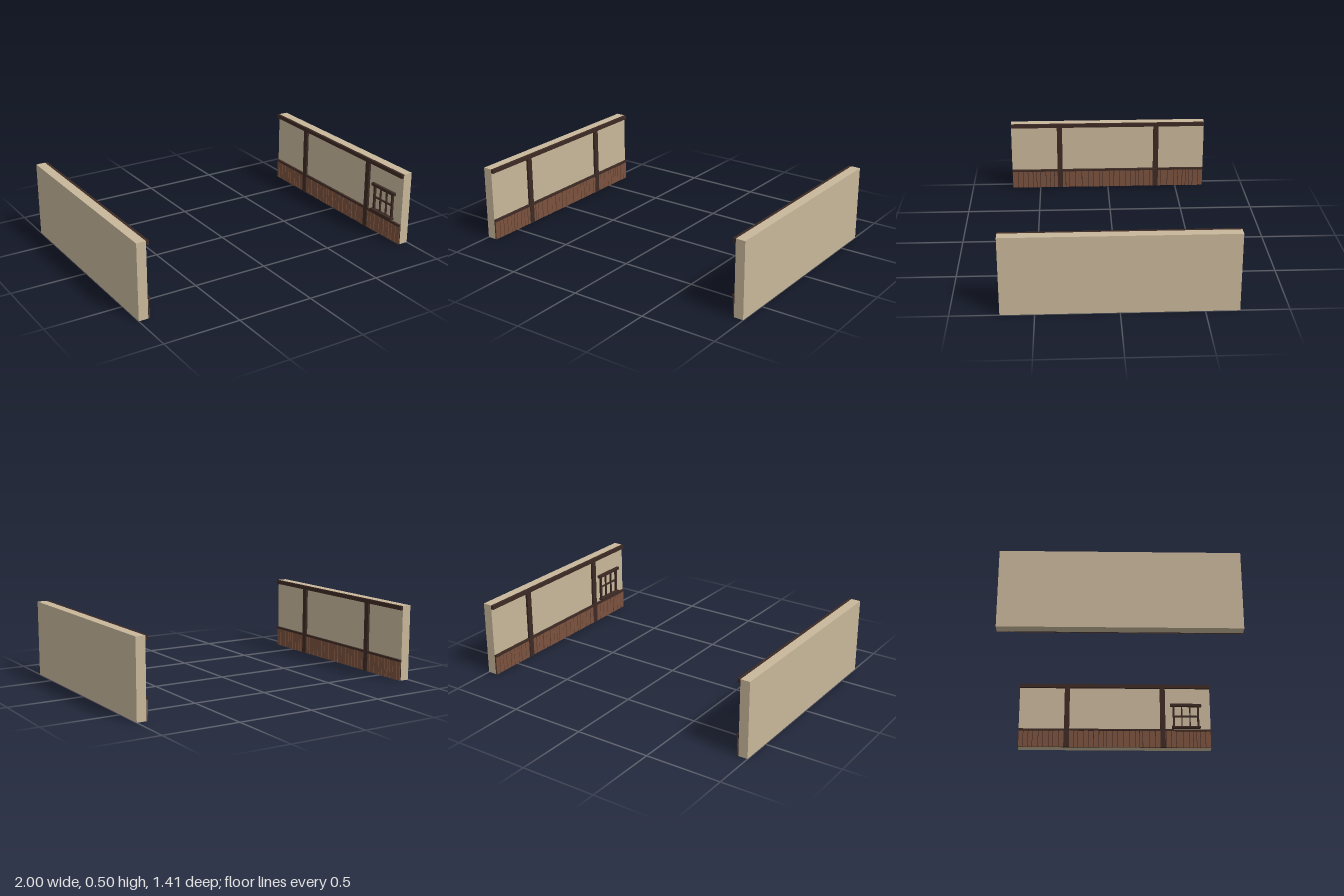
import * as THREE from 'three';

export function createModel() {
  const model = new THREE.Group();
  const mat = (name, hex) => {
    const m = new THREE.MeshStandardMaterial({ color: hex });
    m.name = name;
    return m;
  };
  const plaster = mat('plaster', 0xc8b79a);
  const timber = mat('dark timber', 0x3d2a24);
  const wood = mat('panel wood', 0x7a513d);

  const HEIGHT = 0.495, LENGTH = 1.41, INNER = 0.938;

  // box on a wall: d0..d1 is the distance inward from the wall's inner face
  function box(group, side, name, material, d0, d1, y0, y1, z0, z1) {
    const mesh = new THREE.Mesh(new THREE.BoxGeometry(d1 - d0, y1 - y0, z1 - z0), material);
    mesh.position.set(side * (INNER - (d0 + d1) / 2), (y0 + y1) / 2, (z0 + z1) / 2);
    mesh.name = name;
    group.add(mesh);
  }

  function buildWall(side) {
    const wall = new THREE.Group();
    wall.name = side > 0 ? 'leftWall' : 'rightWall';
    const end = LENGTH / 2;
    const add = (...args) => box(wall, side, ...args);
    add('wallSlab', plaster, INNER - 1, 0, 0, HEIGHT, -end, end);

    // wainscot: dark backing seen in the gaps between uneven planks
    add('wainscotBacking', timber, 0, 0.005, 0, 0.13, -end, end);
    let seed = side > 0 ? 11 : 29;
    const random = () => (seed = (seed * 16807) % 2147483647) / 2147483647;
    for (let i = 0; i < 5; i++) random();
    let z = -end;
    while (z < end - 0.001) {
      let width = 0.024 + 0.026 * random();
      if (end - z - width < 0.02) width = end - z;
      add('wainscotPlank', wood, 0.004, 0.009 + 0.003 * random(), 0, 0.13, z + 0.002, z + width - 0.002);
      z += width;
    }
    add('wainscotRail', timber, 0, 0.016, 0.126, 0.14, -end, end);

    // frame timbers
    add('topBeam', timber, 0, 0.018, 0.468, HEIGHT, -end, end);
    for (const p of [-0.353, 0.353]) {
      add('post', timber, 0, 0.015, 0, 0.47, p - 0.019, p + 0.019);
    }
    return wall;
  }

  const leftWall = buildWall(1);
  model.add(leftWall, buildWall(-1));

  // barred window on the left wall
  const win = new THREE.Group();
  win.name = 'window';
  const add = (...args) => box(win, 1, ...args);
  const zMid = 0.525;
  add('windowSill', timber, 0, 0.03, 0.148, 0.162, zMid - 0.105, zMid + 0.105);
  add('windowLintel', timber, 0, 0.02, 0.322, 0.342, zMid - 0.115, zMid + 0.115);
  for (const s of [-1, 1]) {
    add('windowJamb', timber, 0, 0.014, 0.16, 0.325, zMid + s * 0.09 - 0.007, zMid + s * 0.09 + 0.007);
    add('windowBar', timber, 0, 0.012, 0.16, 0.325, zMid + s * 0.03 - 0.004, zMid + s * 0.03 + 0.004);
  }
  add('windowCrossbar', timber, 0, 0.011, 0.24, 0.25, zMid - 0.09, zMid + 0.09);
  leftWall.add(win);

  return model;
}
